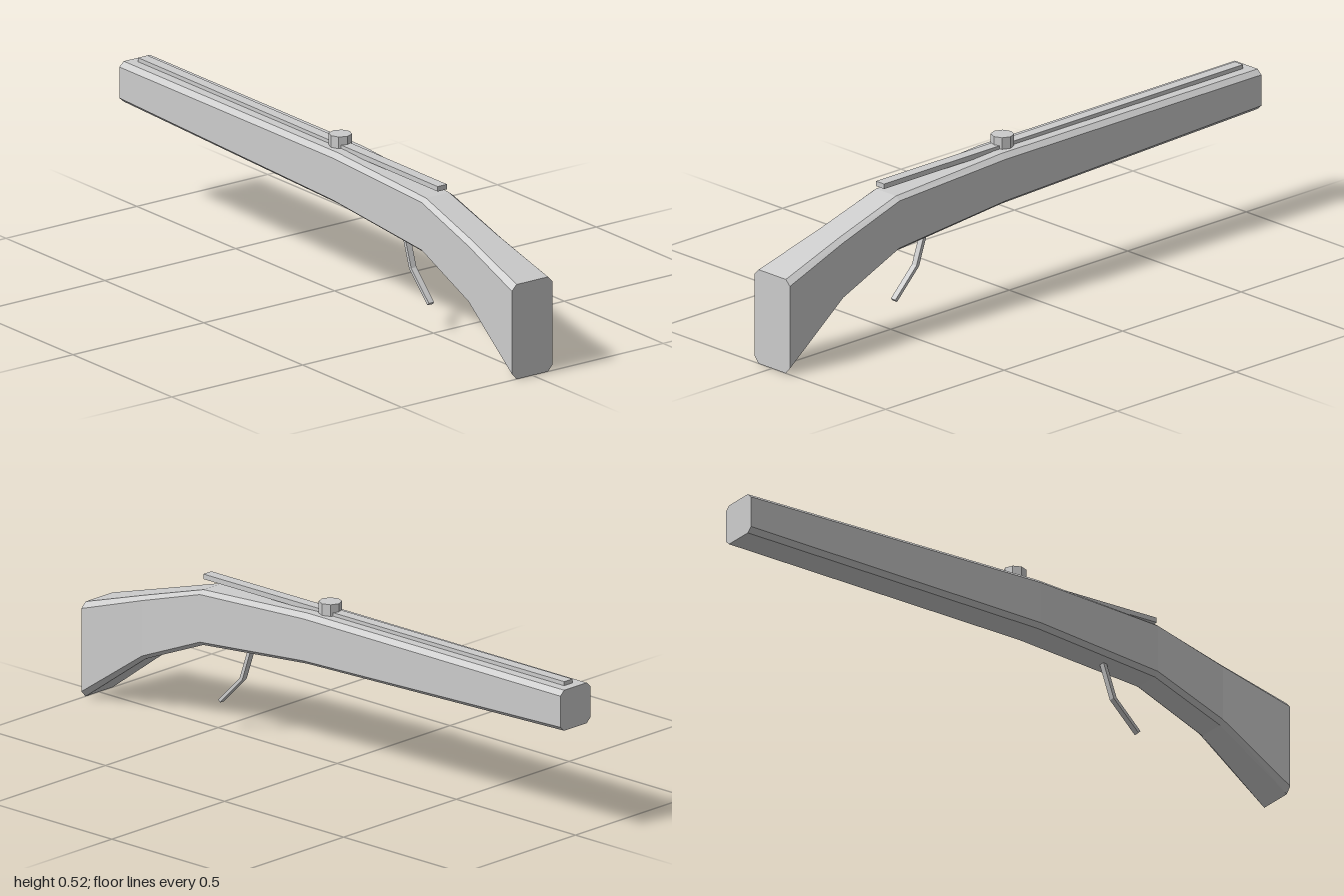
import * as THREE from 'three';

const grey = new THREE.MeshStandardMaterial({ color: 0xcccccc });
grey.name = 'lightGrey';

function addPart(group, name, geometry) {
  const flat = geometry.index ? geometry.toNonIndexed() : geometry;
  flat.computeVertexNormals();
  const mesh = new THREE.Mesh(flat, grey);
  mesh.name = name;
  group.add(mesh);
  return mesh;
}

// Chamfered rectangle, counter-clockwise seen from +z
function section([z, y0, y1, w, cx, cTop, cBottom]) {
  const half = [[w - cx, y0], [w, y0 + cBottom], [w, y1 - cTop], [w - cx, y1]];
  const mirrored = half.slice().reverse().map(([x, y]) => [-x, y]);
  return [...half, ...mirrored].map(([x, y]) => [x, y, z]);
}

// Closed loft through sections running from front to back
function loft(rings) {
  const n = rings[0].length, last = (rings.length - 1) * n, index = [];
  for (let i = 0; i < rings.length - 1; i++) {
    for (let j = 0; j < n; j++) {
      const a = i * n + j, b = i * n + (j + 1) % n;
      index.push(a, a + n, b, b, a + n, b + n);
    }
  }
  for (let j = 1; j < n - 1; j++) {
    index.push(0, j, j + 1, last, last + j + 1, last + j);
  }
  const g = new THREE.BufferGeometry();
  g.setAttribute('position', new THREE.Float32BufferAttribute(rings.flat(2), 3));
  g.setIndex(index);
  return g;
}

// Side outline of [z, y] points, extruded across x
function sideExtrude(points, width) {
  const shape = new THREE.Shape(points.map(([z, y]) => new THREE.Vector2(z, y)));
  const g = new THREE.ExtrudeGeometry(shape, { depth: width, bevelEnabled: false });
  g.translate(0, 0, -width / 2);
  g.rotateY(-Math.PI / 2);
  return g;
}

export function createModel() {
  const model = new THREE.Group();
  model.name = 'longGun';

  // Stock: z, bottom, top, half width, chamfer x, top chamfer, bottom chamfer
  addPart(model, 'stock', loft([
    [1, 0, 0.305, 0.078, 0.018, 0.018, 0.02],
    [0.76, 0.173, 0.378, 0.063, 0.016, 0.014, 0.013],
    [0.52, 0.272, 0.45, 0.06, 0.016, 0.012, 0.013],
    [0.08, 0.315, 0.478, 0.067, 0.017, 0.015, 0.013],
    [-1, 0.348, 0.478, 0.067, 0.017, 0.015, 0.015],
  ].map(section)));

  // Rail along the top, rising very slightly to the back
  addPart(model, 'topRail', sideExtrude(
    [[0.545, 0.472], [0.545, 0.488], [-0.97, 0.491], [-0.97, 0.474]], 0.036));

  // Eight-sided knob on the rail
  const knob = addPart(model, 'knob', new THREE.CylinderGeometry(0.036, 0.036, 0.045, 8));
  knob.position.set(0, 0.493, 0.029);

  // Bent trigger blade
  addPart(model, 'trigger', sideExtrude([
    [0.345, 0.31], [0.357, 0.31], [0.401, 0.184], [0.49, 0.095],
    [0.483, 0.087], [0.39, 0.18],
  ], 0.02));

  return model;
}
